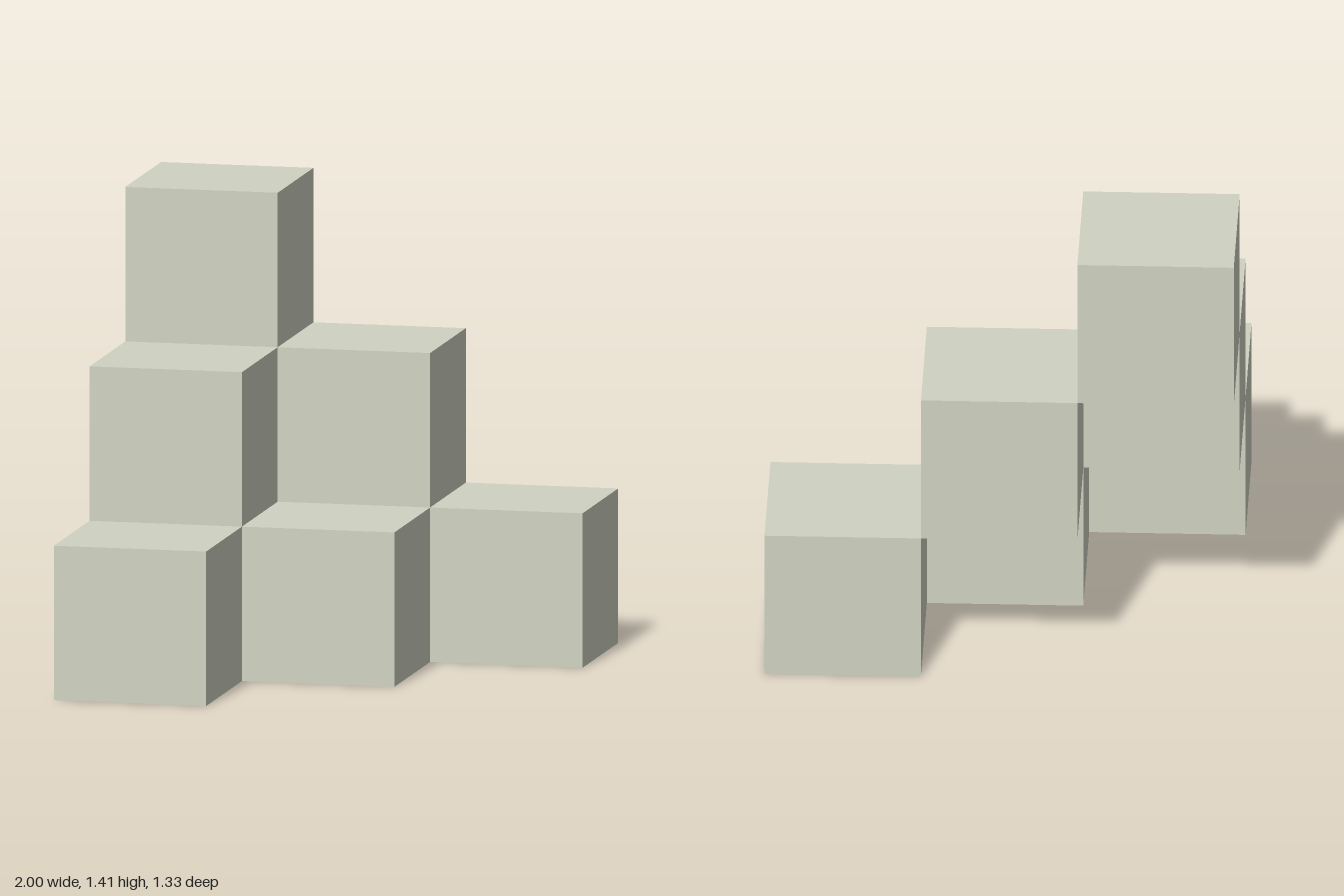
import * as THREE from 'three';

export function createModel() {
  const model = new THREE.Group();
  model.name = 'cubePyramid';

  const stone = new THREE.MeshStandardMaterial({ color: 0xd0d3c2 });
  stone.name = 'pale stone';

  // Cubes stand on their corner diagonals; three diagonals span the full width
  const diagonal = 2 / 3;
  const side = diagonal / Math.SQRT2;
  const cube = new THREE.BoxGeometry(side, side, side);
  const rows = ['bottomCube', 'middleCube', 'topCube'];

  // Each row has one cube fewer and steps back by half a diagonal
  rows.forEach((name, row) => {
    const count = rows.length - row;
    for (let i = 0; i < count; i++) {
      const mesh = new THREE.Mesh(cube, stone);
      mesh.name = name + (i + 1);
      mesh.position.set(
        (i - (count - 1) / 2) * diagonal,
        (row + 0.5) * side,
        (1 - row) * diagonal / 2
      );
      mesh.rotation.y = Math.PI / 4;
      model.add(mesh);
    }
  });

  return model;
}
